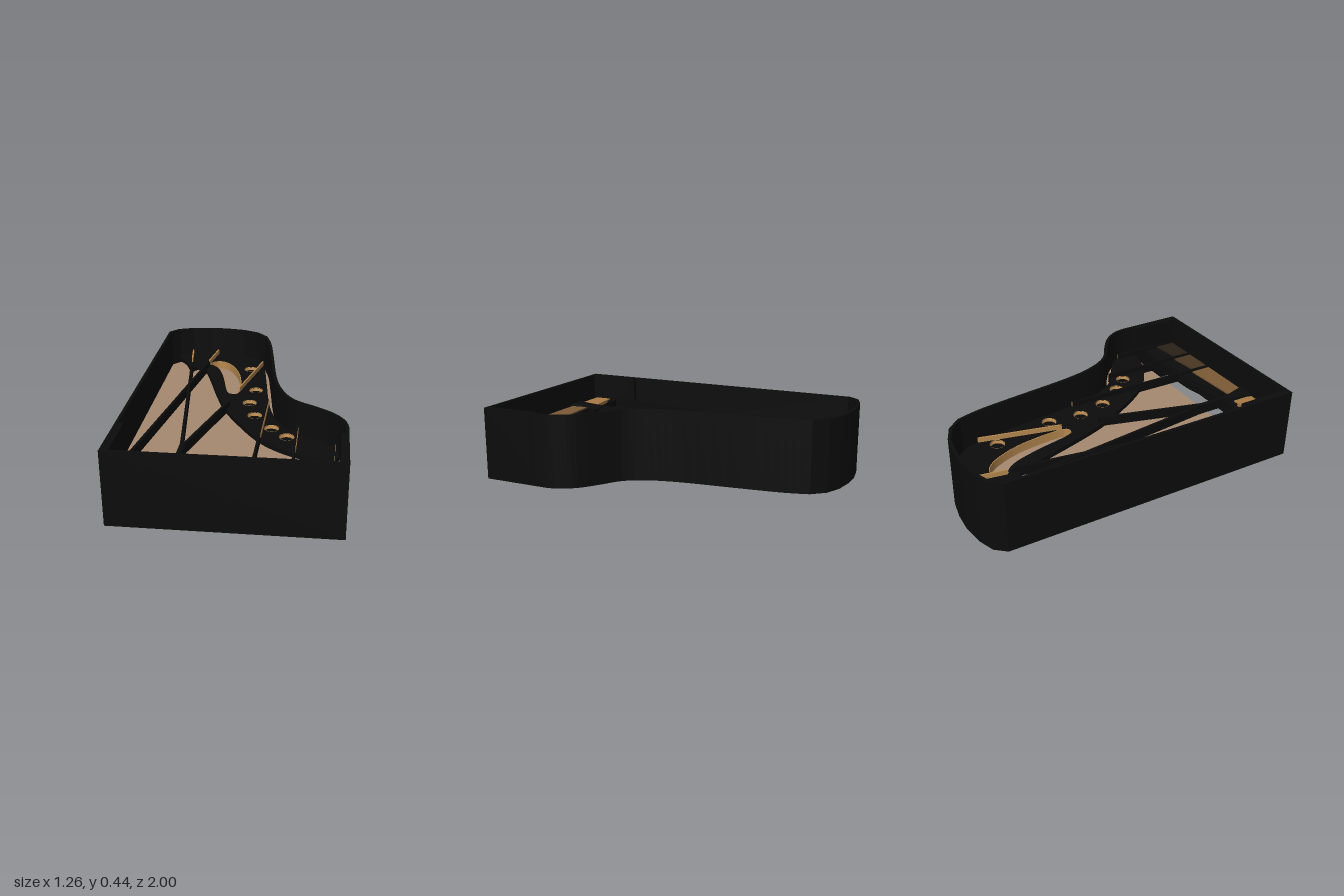
import * as THREE from 'three';

const mat = (color) => new THREE.MeshStandardMaterial({ color, side: THREE.DoubleSide });
const black = mat(0x0c0c0c), wood = mat(0xa68a70), gold = mat(0xb88a50);

const V = (pairs) => pairs.map(([x, z]) => new THREE.Vector2(x, -z));
const smooth = (pairs, n) => new THREE.SplineCurve(V(pairs)).getPoints(n);

// Plan-view slab between two heights, with optional holes
function slab(name, pts, y0, y1, material, holes = []) {
  const shape = new THREE.Shape(pts);
  shape.holes = holes.map((h) => new THREE.Path(h));
  const geo = new THREE.ExtrudeGeometry(shape, { depth: y1 - y0, bevelEnabled: false });
  geo.rotateX(-Math.PI / 2).translate(0, y0, 0);
  const mesh = new THREE.Mesh(geo, material);
  mesh.name = name;
  return mesh;
}

// Straight rib between two plan points
function rib(name, [x0, z0], [x1, z1], width, y0, y1, material) {
  const len = Math.hypot(x1 - x0, z1 - z0);
  const mesh = new THREE.Mesh(new THREE.BoxGeometry(width, y1 - y0, len), material);
  mesh.position.set((x0 + x1) / 2, (y0 + y1) / 2, (z0 + z1) / 2);
  mesh.rotation.y = Math.atan2(x1 - x0, z1 - z0);
  mesh.name = name;
  return mesh;
}

// Offset a closed outline inwards along its corner bisectors
function inset(pts, d) {
  return pts.map((p, i) => {
    const a = pts[(i + pts.length - 1) % pts.length], b = pts[(i + 1) % pts.length];
    const u = p.clone().sub(a).normalize(), v = b.clone().sub(p).normalize();
    const n = new THREE.Vector2(u.y + v.y, -u.x - v.x).normalize();
    return p.clone().addScaledVector(n, d / Math.max(0.5, n.dot(new THREE.Vector2(u.y, -u.x))));
  });
}

export function createModel() {
  const g = new THREE.Group();
  g.name = 'pianoCase';

  // Outer outline, clockwise in plan: straight side, tail, bent side
  const tail = V([[-0.63, -0.88], [-0.575, -0.945], [-0.48, -0.98], [-0.34, -1], [-0.22, -0.995], [-0.1, -0.975], [0, -0.93]]);
  const bent = smooth([[0.07, -0.85], [0.11, -0.7], [0.145, -0.45], [0.19, -0.1], [0.24, 0.1], [0.32, 0.24],
    [0.45, 0.33], [0.55, 0.41], [0.61, 0.5], [0.628, 0.58]], 36);
  const outline = [...V([[-0.63, 1]]), ...tail, ...bent, ...V([[0.63, 1]])];
  const inner = inset(outline, 0.018);
  g.add(slab('rim', outline, 0, 0.44, black, [inner]));
  for (const s of [-1, 1]) g.add(rib('cheekBlock', [s * 0.606, 0.655], [s * 0.606, 0.99], 0.045, 0.001, 0.438, black));

  // Soundboard fills the case behind the keyboard well
  const board = inner.slice(1, -1);
  g.add(slab('soundboard', [...V([[-0.612, 0.68]]), ...board, ...V([[0.612, 0.68]])], 0.025, 0.195, wood));

  // Iron plate: outer edge follows the rim, inner edge sweeps to the treble
  const plateOuter = inset(outline, 0.045).slice(2, -1);
  const innerEdge = smooth([[0.56, 0.64], [0.4, 0.6], [0.25, 0.52], [0.12, 0.4], [0, 0.22], [-0.12, 0],
    [-0.2, -0.22], [-0.27, -0.45], [-0.33, -0.63], [-0.36, -0.67], [-0.4, -0.68], [-0.43, -0.63]], 44);
  const bassEdge = smooth([[-0.45, -0.66], [-0.49, -0.76], [-0.54, -0.83], [-0.565, -0.88]], 8);
  const slot = smooth([[-0.32, -0.72], [-0.31, -0.78], [-0.25, -0.81], [-0.17, -0.75], [-0.1, -0.6], [-0.065, -0.42],
    [-0.06, -0.25], [-0.1, -0.22], [-0.14, -0.26], [-0.19, -0.48], [-0.24, -0.64], [-0.29, -0.71], [-0.32, -0.72]], 48);
  slot.pop();
  const holes = [[-0.025, -0.66], [0.045, -0.29], [0.025, -0.085], [0.075, 0.1], [0.19, 0.27], [0.285, 0.375]];
  const circle = ([x, z], r) => Array.from({ length: 28 }, (_, i) => {
    const a = (i / 28) * Math.PI * 2;
    return new THREE.Vector2(x + r * Math.cos(a), -z + r * Math.sin(a));
  });
  g.add(slab('ironPlate', [...plateOuter, ...innerEdge, ...bassEdge], 0.235, 0.262, black,
    [slot, ...holes.map((h) => circle(h, 0.044))]));
  g.add(slab('slotLining', slot, 0.205, 0.258, gold, [inset(slot, 0.005)]));

  // Round plate openings with gilded sloping walls
  for (const [x, z] of holes) {
    const wall = new THREE.Mesh(new THREE.CylinderGeometry(0.045, 0.038, 0.027, 28, 1, true), gold);
    wall.name = 'plateOpening';
    wall.position.set(x, 0.251, z);
    const floor = new THREE.Mesh(new THREE.CylinderGeometry(0.039, 0.039, 0.006, 28), black);
    floor.name = 'openingFloor';
    floor.position.set(x, 0.24, z);
    g.add(wall, floor);
  }

  // Crossing struts of the plate
  const struts = [
    [[-0.325, -0.7], [-0.56, 0.83], 0.016], [[-0.435, -0.66], [-0.28, 0.62], 0.016],
    [[-0.1, -0.03], [-0.28, 0.62], 0.016], [[-0.28, 0.56], [-0.28, 0.95], 0.025],
    [[0.14, -0.08], [0.122, 0.95], 0.012], [[0.34, 0.3], [0.335, 0.95], 0.012], [[0.553, 0.5], [0.55, 0.95], 0.012],
  ];
  for (const [a, b, w] of struts) g.add(rib('strut', a, b, w, 0.235, 0.295, black));
  // Fillets where struts meet
  g.add(slab('strutFillet', V([[-0.3, 0.52], [-0.28, 0.58], [-0.255, 0.52], [-0.26, 0.62], [-0.275, 0.7], [-0.29, 0.62]]), 0.24, 0.285, black));
  g.add(slab('strutFillet', V([[-0.415, -0.42], [-0.39, -0.39], [-0.365, -0.42], [-0.385, -0.3], [-0.37, -0.17], [-0.4, -0.2], [-0.425, -0.17], [-0.4, -0.3]]), 0.24, 0.285, black));
  g.add(slab('strutFoot', V([[-0.29, 0.74], [-0.27, 0.74], [-0.26, 0.83], [-0.225, 0.95], [-0.34, 0.95], [-0.31, 0.83]]), 0.24, 0.297, black));

  // Thin gilded ribs
  const gilded = [
    [[0.05, -0.75], [-0.06, -0.26]], [[-0.47, -0.93], [-0.45, -0.76]], [[-0.29, -0.95], [-0.325, -0.73]],
    [[0.144, -0.08], [0.136, 0.4]], [[0.344, 0.3], [0.342, 0.56]], [[0.557, 0.5], [0.555, 0.65]],
  ];
  for (const [a, b] of gilded) g.add(rib('gildedRib', a, b, 0.009, 0.24, 0.292, gold));

  // Tuning-pin web with a scalloped rear edge
  const scallop = smooth([[-0.57, 0.82], [-0.5, 0.835], [-0.4, 0.83], [-0.33, 0.805], [-0.28, 0.78], [-0.24, 0.81],
    [-0.18, 0.82], [-0.1, 0.78], [0.02, 0.75], [0.12, 0.74]], 36);
  g.add(slab('pinWeb', [...V([[-0.57, 0.96]]), ...scallop, ...V([[0.56, 0.73], [0.56, 0.96]])], 0.2, 0.275, black));
  const panels = [[-0.555, -0.33, 0xa87a45], [-0.24, 0.114, 0x7c5b36], [0.13, 0.327, 0x4a3722], [0.343, 0.542, 0x2a2017]];
  for (const [x0, x1, c] of panels)
    g.add(slab('pinPanel', V([[x0, 0.945], [x0, 0.838], [x1, 0.815], [x1, 0.945]]), 0.26, 0.284, mat(c)));

  // String bearing bar behind the pins
  const bar = [[-0.565, 0.79], [-0.28, 0.76], [-0.08, 0.725], [0.1, 0.708], [0.55, 0.718]];
  for (let i = 1; i < bar.length; i++) g.add(rib('bearingBar', bar[i - 1], bar[i], 0.014, 0.24, 0.285, black));

  return g;
}
